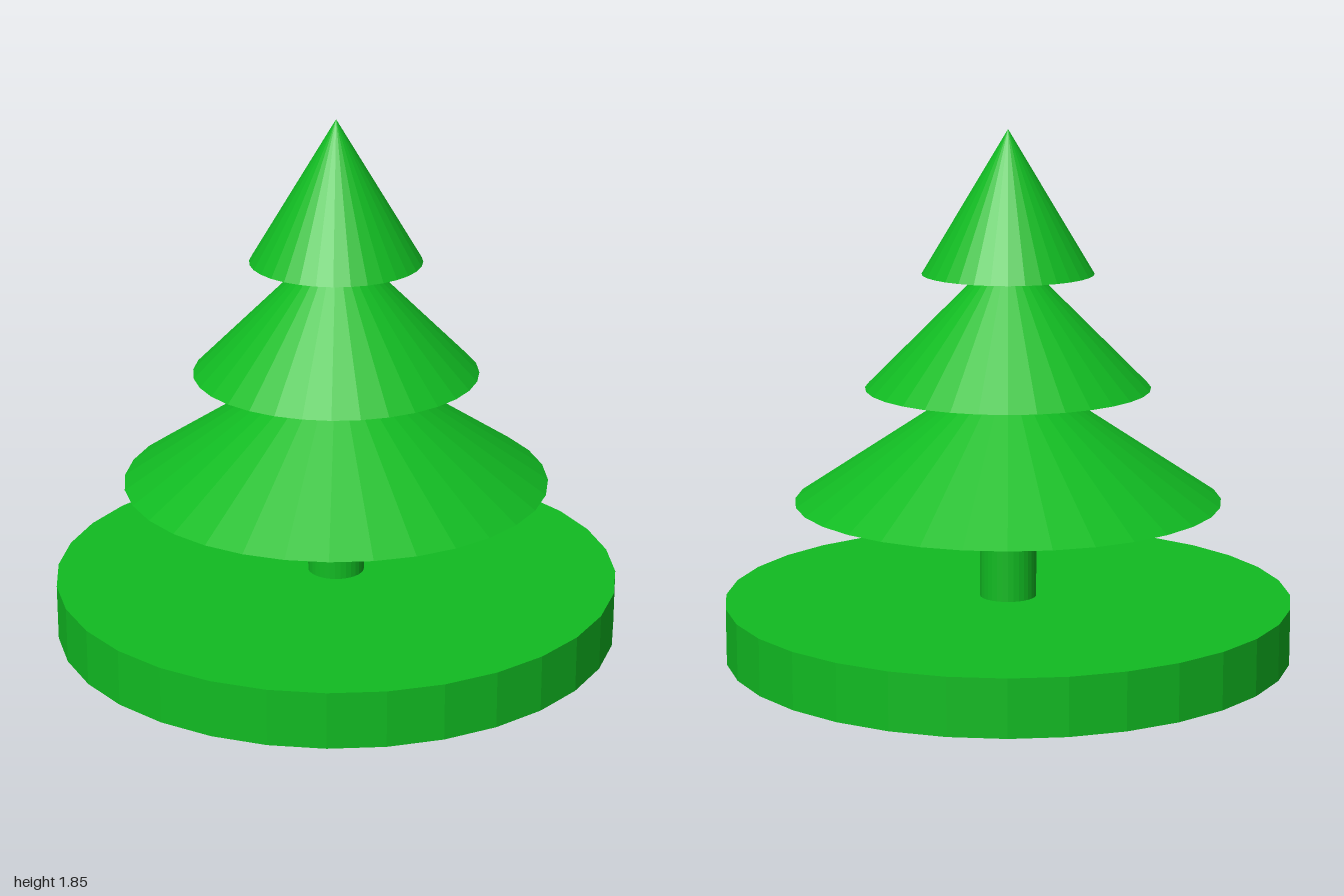
import * as THREE from 'three';

const SIDES = 32;

export function createModel() {
  const group = new THREE.Group();
  const material = new THREE.MeshStandardMaterial({ color: 0x11bb22, flatShading: true });

  // Round solid standing on height y
  const addRound = (name, topRadius, bottomRadius, height, y) => {
    const geometry = new THREE.CylinderGeometry(topRadius, bottomRadius, height, SIDES);
    const mesh = new THREE.Mesh(geometry, material);
    mesh.name = name;
    mesh.position.y = y + height / 2;
    group.add(mesh);
  };

  // Disc base and trunk
  addRound('base', 1, 1, 0.2, 0);
  addRound('trunk', 0.1, 0.1, 0.4, 0.2);

  // Three tiers of foliage, each cone overlapping the one above
  [['lowerFoliage', 0.75], ['middleFoliage', 0.5], ['upperFoliage', 0.3]].forEach(
    ([name, radius], i) => addRound(name, 0, radius, 0.5, 0.55 + i * 0.4)
  );

  return group;
}
